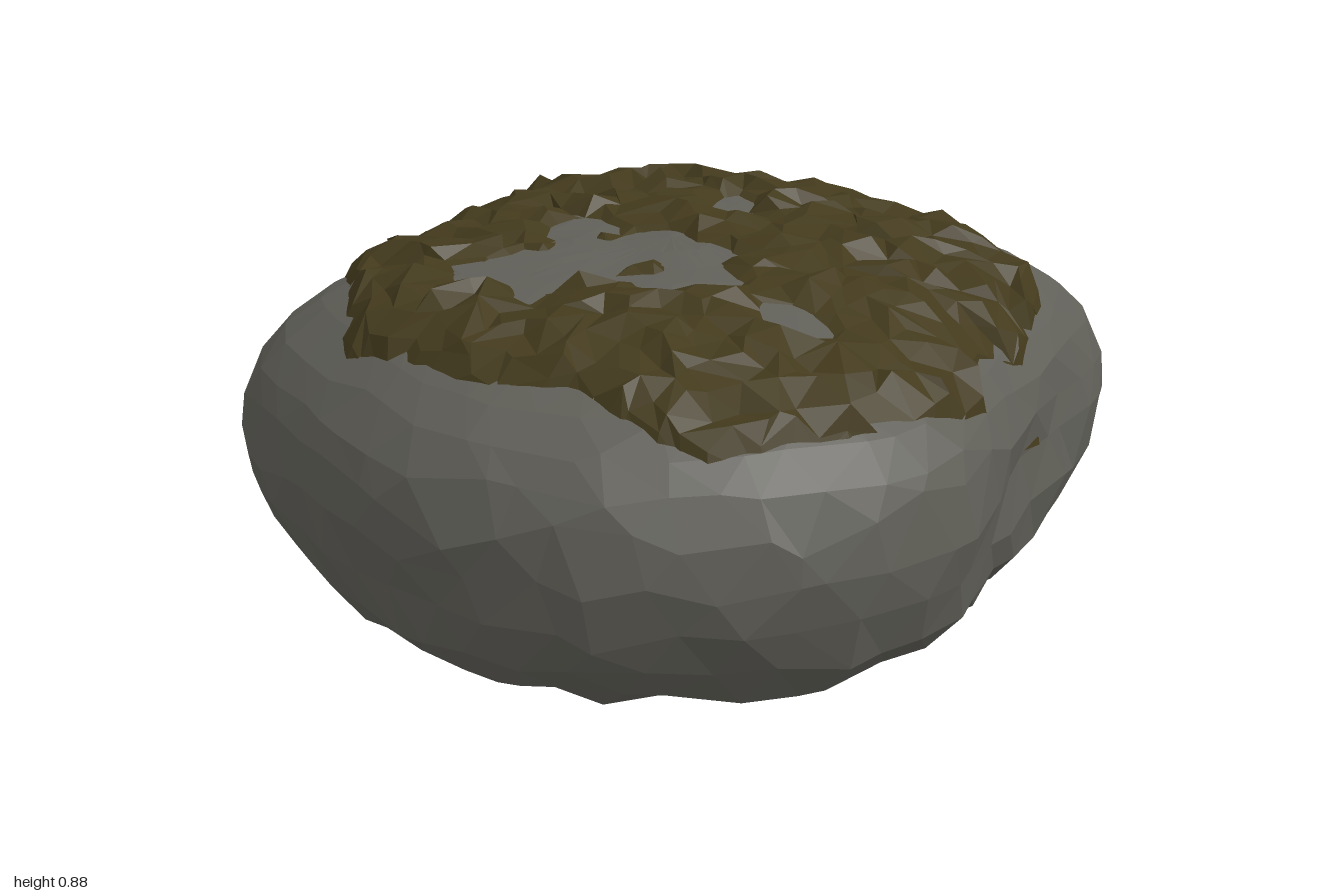
import * as THREE from 'three';

const TAU = Math.PI * 2;

// Seeded random numbers in -1..1
let seed = 7;
const rnd = () => {
  seed = (seed * 16807) % 2147483647;
  return (seed / 2147483647) * 2 - 1;
};

// Boulder outline seen from above (x, z)
const OUTLINE = [[0.33, -1], [0.45, -0.99], [0.57, -0.94], [0.66, -0.82], [0.75, -0.63], [0.83, -0.37],
  [0.92, -0.15], [0.98, 0], [0.995, 0.18], [0.97, 0.38], [0.91, 0.53], [0.81, 0.68], [0.66, 0.84], [0.55, 0.89],
  [0.38, 0.975], [0.2, 1], [-0.1, 0.975], [-0.45, 0.905], [-0.6, 0.83], [-0.7, 0.7], [-0.76, 0.5], [-0.85, 0.2],
  [-0.93, 0], [-1, -0.25], [-0.97, -0.4], [-0.82, -0.57], [-0.5, -0.7], [-0.2, -0.86], [0, -0.91]];

// Moss edge and the bare patch in its middle (x, z)
const MOSS = [[0.2, -0.77], [0.37, -0.75], [0.5, -0.7], [0.6, -0.65], [0.65, -0.55], [0.75, -0.4], [0.75, -0.2],
  [0.88, -0.13], [0.88, 0.05], [0.87, 0.25], [0.82, 0.4], [0.77, 0.57], [0.65, 0.63], [0.42, 0.66], [0.3, 0.75],
  [0.1, 0.8], [-0.1, 0.8], [-0.18, 0.82], [-0.3, 0.72], [-0.42, 0.63], [-0.6, 0.52], [-0.75, 0.33],
  [-0.72, 0.15], [-0.65, 0], [-0.73, -0.1], [-0.75, -0.2], [-0.65, -0.42], [-0.5, -0.45], [-0.43, -0.55],
  [-0.37, -0.68], [-0.2, -0.7], [0.02, -0.72], [0.1, -0.7]];
const BARE = [[-0.31, 0.05], [-0.1, 0.03], [0, -0.05], [0.1, 0], [0.2, -0.02], [0.22, 0.05], [0.36, 0.08],
  [0.34, 0.18], [0.27, 0.29], [0.2, 0.29], [0.1, 0.32], [0.09, 0.42], [0.14, 0.52], [0.1, 0.55], [0, 0.48],
  [-0.1, 0.52], [-0.22, 0.5], [-0.18, 0.38], [-0.1, 0.25], [-0.25, 0.17]];

// Height against the fraction of the outline radius, upper and lower halves
const UPPER = [[0, 0.825], [0.3, 0.82], [0.5, 0.8], [0.65, 0.77], [0.75, 0.735], [0.85, 0.68], [0.92, 0.62],
  [0.97, 0.545], [0.99, 0.48], [1, 0.4]];
const LOWER = [[0.42, 0], [0.6, 0.015], [0.79, 0.045], [0.88, 0.1], [0.945, 0.18], [0.985, 0.28]];

// Swells of the upper surface: x, z, width, height
const SWELLS = [[-0.25, -0.52, 0.3, 0.045], [0.65, 0.15, 0.25, -0.018], [-0.1, 0.6, 0.2, 0.015]];

// Gouges in the flanks: angle, half width, height, slope, depth
const GOUGES = [[-0.35, 0.4, 0.38, -0.3, 0.04], [1.3, 0.3, 0.33, -0.3, 0.025], [4.4, 0.4, 0.38, 0.3, 0.04],
  [3.75, 0.25, 0.32, -0.5, 0.03]];

function lookup(table, v) {
  let i = 1;
  while (i < table.length - 1 && table[i][0] < v) i++;
  const [a, b] = [table[i - 1], table[i]];
  return THREE.MathUtils.lerp(a[1], b[1], THREE.MathUtils.clamp((v - a[0]) / (b[0] - a[0]), 0, 1));
}

// Outline radius as a function of angle, exact and rounded off
const curve = new THREE.CatmullRomCurve3(OUTLINE.map(([x, z]) => new THREE.Vector3(x, 0, z)), true);
const polar = curve.getPoints(240).slice(0, -1)
  .map(p => [(Math.atan2(p.z, p.x) + TAU) % TAU, Math.hypot(p.x, p.z)])
  .sort((a, b) => a[0] - b[0]);
const first = polar[0], last = polar[polar.length - 1];
const wrapped = [[last[0] - TAU, last[1]], ...polar, [first[0] + TAU, first[1]]];
const radius = angle => lookup(wrapped, ((angle % TAU) + TAU) % TAU);
const roundRadius = a => [-0.45, -0.3, -0.15, 0, 0.15, 0.3, 0.45].reduce((s, d) => s + radius(a + d) / 7, 0);

// Height of the boulder's upper surface
const topY = (x, z) => {
  const q = Math.min(Math.hypot(x, z) / radius(Math.atan2(z, x)), 0.995);
  const swell = SWELLS.reduce((s, [cx, cz, w, h]) =>
    s + h * Math.exp(-((x - cx) ** 2 + (z - cz) ** 2) / (w * w)), 0);
  const ripple = 0.008 * Math.sin(17 * x) * Math.sin(15 * z + 1);
  return lookup(UPPER, q) + swell * (1 - q ** 6) + ripple * (1 - q);
};

// Depth of the gouges at an angle and height
const gouge = (a, y) => GOUGES.reduce((sum, [a0, w, y0, slope, depth]) => {
  const da = Math.atan2(Math.sin(a - a0), Math.cos(a - a0));
  return sum + depth * Math.exp(-((da / w) ** 4) - ((y - y0 - slope * da) / 0.07) ** 2);
}, 0);

// Distance to a polygon, positive inside
function inside(poly, x, z) {
  let dist = Infinity, within = false;
  poly.forEach(([ax, az], i) => {
    const [bx, bz] = poly[(i + 1) % poly.length];
    const dx = bx - ax, dz = bz - az;
    const t = THREE.MathUtils.clamp(((x - ax) * dx + (z - az) * dz) / (dx * dx + dz * dz), 0, 1);
    dist = Math.min(dist, Math.hypot(x - ax - t * dx, z - az - t * dz));
    if ((az > z) !== (bz > z) && x < ax + dx * (z - az) / dz) within = !within;
  });
  return within ? dist : -dist;
}
const disc = (x, z, cx, cz, r) => r - Math.hypot(x - cx, z - cz);

// Positive where moss grows
function mossDepth(x, z) {
  const patch = Math.max(
    Math.min(inside(MOSS, x, z), -inside(BARE, x, z)),
    disc(x, z, 0.13, 0.2, 0.05), disc(x, z, -0.1, 0.1, 0.035));
  return Math.min(patch, -disc(x, z, 0.51, 0.13, 0.06), -disc(x, z, 0.57, 0.12, 0.06),
    -disc(x, z, -0.08, -0.29, 0.05), -disc(x, z, -0.04, -0.23, 0.05), -disc(x, z, 0.17, -0.58, 0.05));
}

function flatGeometry(positions, indices) {
  const g = new THREE.BufferGeometry();
  g.setAttribute('position', new THREE.Float32BufferAttribute(positions, 3));
  g.setIndex(indices);
  const flat = g.toNonIndexed();
  flat.computeVertexNormals();
  return flat;
}

// Boulder: rings from the flat base over the bulge to the top centre
function boulderGeometry() {
  const N = 48, pos = [], idx = [];
  const rings = [...LOWER, [1, 0.4],
    ...[0.985, 0.95, 0.89, 0.81, 0.72, 0.62, 0.52, 0.42, 0.32, 0.22, 0.12].map(q => [q])];
  rings.forEach(([q, y], j) => {
    for (let i = 0; i < N; i++) {
      const a = ((i + (j % 2) * 0.5 + rnd() * 0.36) / N) * TAU;
      let r = radius(a) * q, h = y;
      if (y === undefined) {
        r += rnd() * 0.012;
        h = topY(r * Math.cos(a), r * Math.sin(a));
        if (q > 0.94) r -= gouge(a, h);
      } else {
        // The outline rounds off towards the base
        r = q * THREE.MathUtils.lerp(radius(a), roundRadius(a), Math.min(1, (1 - q) * 3));
        if (y > 0.03) {
          // Rough flanks with an upright cleft on the right
          h += rnd() * Math.min(0.025, y * 0.25);
          const cleft = 0.035 * Math.exp(-(((a - 2.9) / 0.09) ** 2));
          r += (q < 1 ? rnd() * 0.01 : 0) - cleft - gouge(a, h);
        }
      }
      pos.push(r * Math.cos(a), h, r * Math.sin(a));
    }
  });
  for (let j = 0; j < rings.length - 1; j++) {
    for (let i = 0; i < N; i++) {
      const k = (i + 1) % N, a = j * N + i, b = j * N + k, c = a + N, d = b + N;
      if (j % 2) idx.push(a, c, d, a, d, b);
      else idx.push(a, c, b, b, c, d);
    }
  }
  const base = pos.length / 3, top = base + 1, lastRing = (rings.length - 1) * N;
  pos.push(0, 0, 0, 0, topY(0, 0), 0);
  for (let i = 0; i < N; i++) {
    const k = (i + 1) % N;
    idx.push(base, i, k, top, lastRing + k, lastRing + i);
  }
  return flatGeometry(pos, idx);
}

// Moss: a rough sheet that rises out of the stone and dips below it at its edges
function mossGeometry() {
  const STEP = 0.058, N = 34, pos = [], idx = [], depth = [];
  const normal = new THREE.Vector3();
  for (let j = 0; j <= N; j++) {
    for (let i = 0; i <= N; i++) {
      const x = (i - N / 2) * STEP + rnd() * 0.024, z = (j - N / 2) * STEP + rnd() * 0.024;
      const d = mossDepth(x, z), e = 0.02;
      normal.set(topY(x - e, z) - topY(x + e, z), 2 * e, topY(x, z - e) - topY(x, z + e)).normalize();
      const rough = d > 0.03 ? rnd() * 0.02 : 0;
      const lift = THREE.MathUtils.clamp(d / 0.035, -1.6, 1) * 0.026 + rough;
      pos.push(x + normal.x * lift, topY(x, z) + normal.y * lift, z + normal.z * lift);
      depth.push(d);
    }
  }
  const add = (...t) => {
    if (t.every(v => depth[v] > -0.09) && t.some(v => depth[v] > 0)) idx.push(...t);
  };
  for (let j = 0; j < N; j++) {
    for (let i = 0; i < N; i++) {
      const a = j * (N + 1) + i, b = a + N + 1, c = a + 1, d = b + 1;
      if (rnd() > 0) { add(a, b, c); add(c, b, d); }
      else { add(a, b, d); add(a, d, c); }
    }
  }
  return flatGeometry(pos, idx);
}

export function createModel() {
  seed = 7;
  const stone = new THREE.MeshStandardMaterial({ color: 0x605f58, flatShading: true });
  stone.name = 'grey stone';
  const brown = new THREE.MeshStandardMaterial({ color: 0x433a1d, flatShading: true, side: THREE.DoubleSide });
  brown.name = 'brown moss';
  const group = new THREE.Group();
  group.name = 'mossyBoulder';
  const boulder = new THREE.Mesh(boulderGeometry(), stone);
  boulder.name = 'boulder';
  const moss = new THREE.Mesh(mossGeometry(), brown);
  moss.name = 'moss';
  group.add(boulder, moss);
  return group;
}
